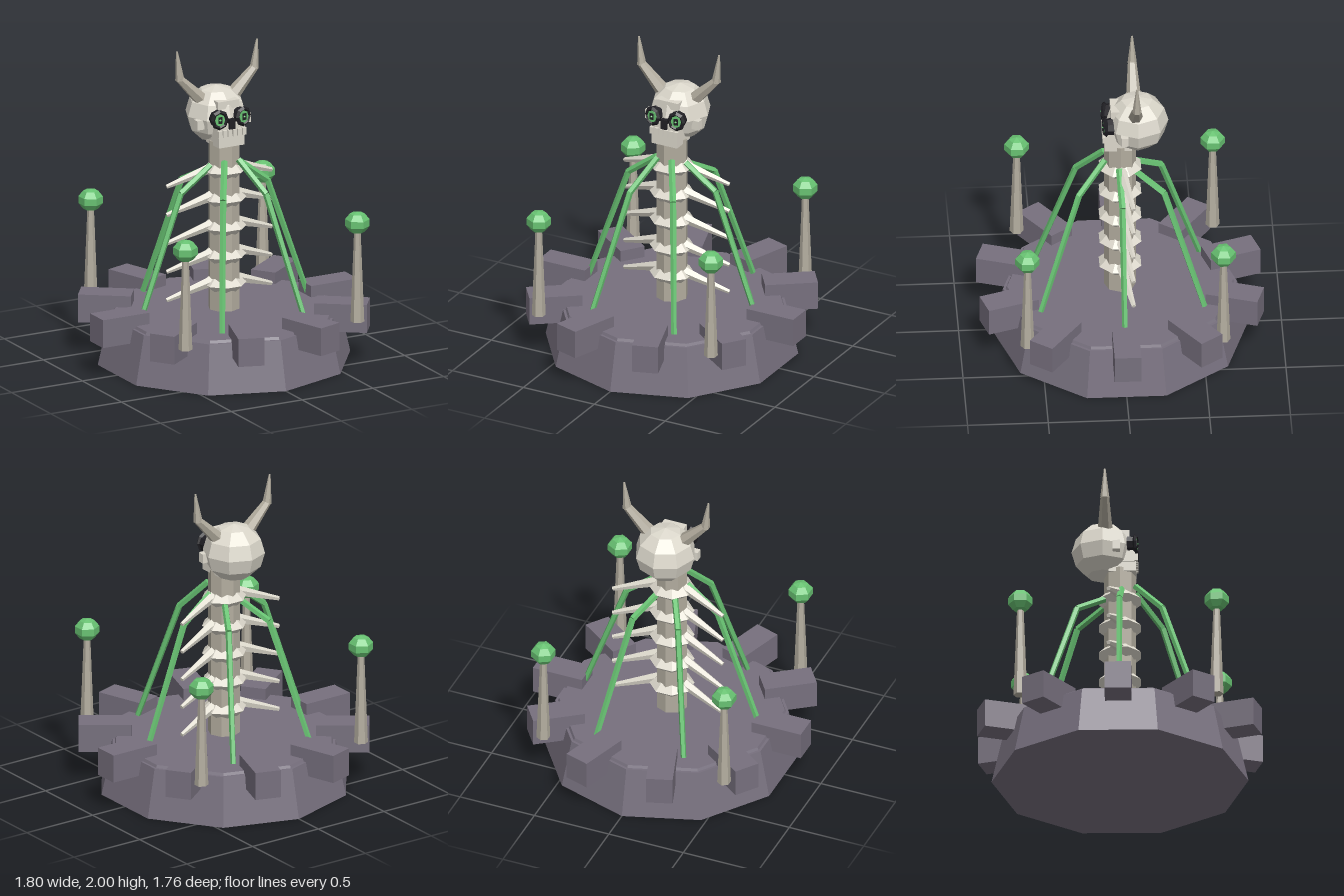
import * as THREE from 'three';

const mat = (color) => new THREE.MeshStandardMaterial({ color, flatShading: true, side: THREE.DoubleSide });

export function createModel() {
  const root = new THREE.Group();
  const stone = mat(0x77707e), bone = mat(0xdcd8cc), oldBone = mat(0xb3ad9f);
  const green = mat(0x68c272), dark = mat(0x201f24);

  const add = (name, geo, material, x = 0, y = 0, z = 0, parent = root) => {
    const m = new THREE.Mesh(geo, material);
    m.name = name;
    m.position.set(x, y, z);
    parent.add(m);
    return m;
  };
  const box = (name, w, h, d, material, x, y, z, parent) =>
    add(name, new THREE.BoxGeometry(w, h, d), material, x, y, z, parent);

  // Tapered bar between two points
  const bar = (name, a, b, ra, rb, sides, material, parent) => {
    const p = new THREE.Vector3(...a), q = new THREE.Vector3(...b);
    const dir = q.clone().sub(p);
    const m = add(name, new THREE.CylinderGeometry(rb, ra, dir.length(), sides), material, 0, 0, 0, parent);
    m.position.copy(p).add(q).multiplyScalar(0.5);
    m.quaternion.setFromUnitVectors(new THREE.Vector3(0, 1, 0), dir.normalize());
    return m;
  };

  // Ten-sided plinth with a thin upper slab
  add('plinth', new THREE.CylinderGeometry(0.725, 0.795, 0.31, 10), stone, 0, 0.155, 0);
  add('plinthSlab', new THREE.CylinderGeometry(0.7, 0.715, 0.03, 10), stone, 0, 0.312, 0);

  // Radial stone blocks around the rim
  for (let i = 0; i < 10; i++) {
    const a = i * Math.PI / 5;
    const b = box('rimBlock', 0.33, 0.18, 0.165, stone, 0.735 * Math.cos(a), 0.31, 0.735 * Math.sin(a));
    b.rotation.y = -a;
  }

  // Four lamp posts with faceted orbs
  for (const x of [-0.607, 0.607]) for (const z of [-0.607, 0.607]) {
    add('lampPost', new THREE.CylinderGeometry(0.02, 0.043, 0.6, 6), oldBone, x, 0.61, z);
    const orb = add('lampOrb', new THREE.SphereGeometry(0.08, 6, 5), green, x, 0.95, z);
    orb.scale.y = 0.9;
    orb.rotation.y = Math.PI / 2;
  }

  // Spine column, vertebrae and swept-back ribs
  add('spineColumn', new THREE.CylinderGeometry(0.1, 0.1, 1.1, 8), oldBone, 0, 0.87, 0);
  const ringProfile = [[0.08, -0.055], [0.14, 0], [0.08, 0.055]].map((p) => new THREE.Vector2(...p));
  for (let i = 0; i < 5; i++) {
    const y = 0.49 + i * 0.184;
    const v = add('vertebra', new THREE.LatheGeometry(ringProfile, 8), bone, 0, y, 0);
    v.rotation.y = Math.PI / 8;
    for (const s of [-1, 1]) {
      bar('rib', [s * 0.07, y + 0.025, 0.0], [s * 0.37, y - 0.08, -0.065], 0.035, 0.014, 5, bone);
    }
  }

  // Six bent cords from the collar down to the slab
  for (let i = 0; i < 6; i++) {
    const a = i * Math.PI / 3, c = Math.cos(a), s = Math.sin(a);
    const top = [0.1 * c, 1.265 + 0.045 * s, 0.1 * s + 0.01];
    const knee = [0.305 * c, 1.11, 0.305 * s];
    const foot = [0.585 * c, 0.34, 0.585 * s];
    bar('cordUpper', top, knee, 0.021, 0.021, 5, green);
    bar('cordLower', knee, foot, 0.021, 0.018, 5, green);
  }

  // Skull
  const skull = new THREE.Group();
  skull.name = 'skull';
  root.add(skull);
  const cranium = add('cranium', new THREE.SphereGeometry(0.195, 8, 6), bone, 0, 1.56, -0.105, skull);
  cranium.scale.y = 0.94;
  box('brow', 0.15, 0.05, 0.1, bone, 0, 1.655, 0.01, skull);
  box('upperJaw', 0.19, 0.09, 0.13, bone, 0, 1.5, 0.03, skull);
  box('jaw', 0.18, 0.08, 0.17, bone, 0, 1.435, 0.015, skull);
  box('nose', 0.04, 0.065, 0.04, dark, 0, 1.542, 0.09, skull);
  for (let i = 0; i < 6; i++) {
    box('tooth', 0.026, 0.045, 0.025, bone, -0.085 + i * 0.034, 1.485, 0.1, skull);
  }

  // Eyes, cheeks and horns, mirrored
  for (const s of [-1, 1]) {
    const eye = new THREE.Group();
    eye.name = 'eye';
    eye.position.set(s * 0.08, 1.578, 0.075);
    eye.rotation.y = s * 0.15;
    skull.add(eye);
    const socket = add('eyeSocket', new THREE.CylinderGeometry(0.048, 0.055, 0.05, 8), dark, 0, 0, 0, eye);
    socket.rotation.x = Math.PI / 2;
    add('eyeRim', new THREE.TorusGeometry(0.045, 0.014, 4, 8), dark, 0, 0, 0.022, eye).scale.y = 1.12;
    const iris = add('iris', new THREE.CylinderGeometry(0.033, 0.033, 0.012, 8), green, 0, 0, 0.025, eye);
    iris.rotation.x = Math.PI / 2;
    iris.scale.z = 1.2;
    box('pupil', 0.026, 0.042, 0.01, dark, 0, 0, 0.03, eye);
    add('eyeGlint', new THREE.OctahedronGeometry(0.01), green, 0, 0, 0.034, eye);

    box('cheek', 0.05, 0.06, 0.045, bone, s * 0.165, 1.53, -0.02, skull);
    bar('hornBase', [s * 0.115, 1.67, -0.09], [s * 0.268, 1.825, -0.09], 0.046, 0.026, 6, oldBone, skull);
    bar('hornTip', [s * 0.262, 1.812, -0.09], [s * 0.283, 2.0, -0.09], 0.029, 0.006, 6, oldBone, skull);
  }
  return root;
}
